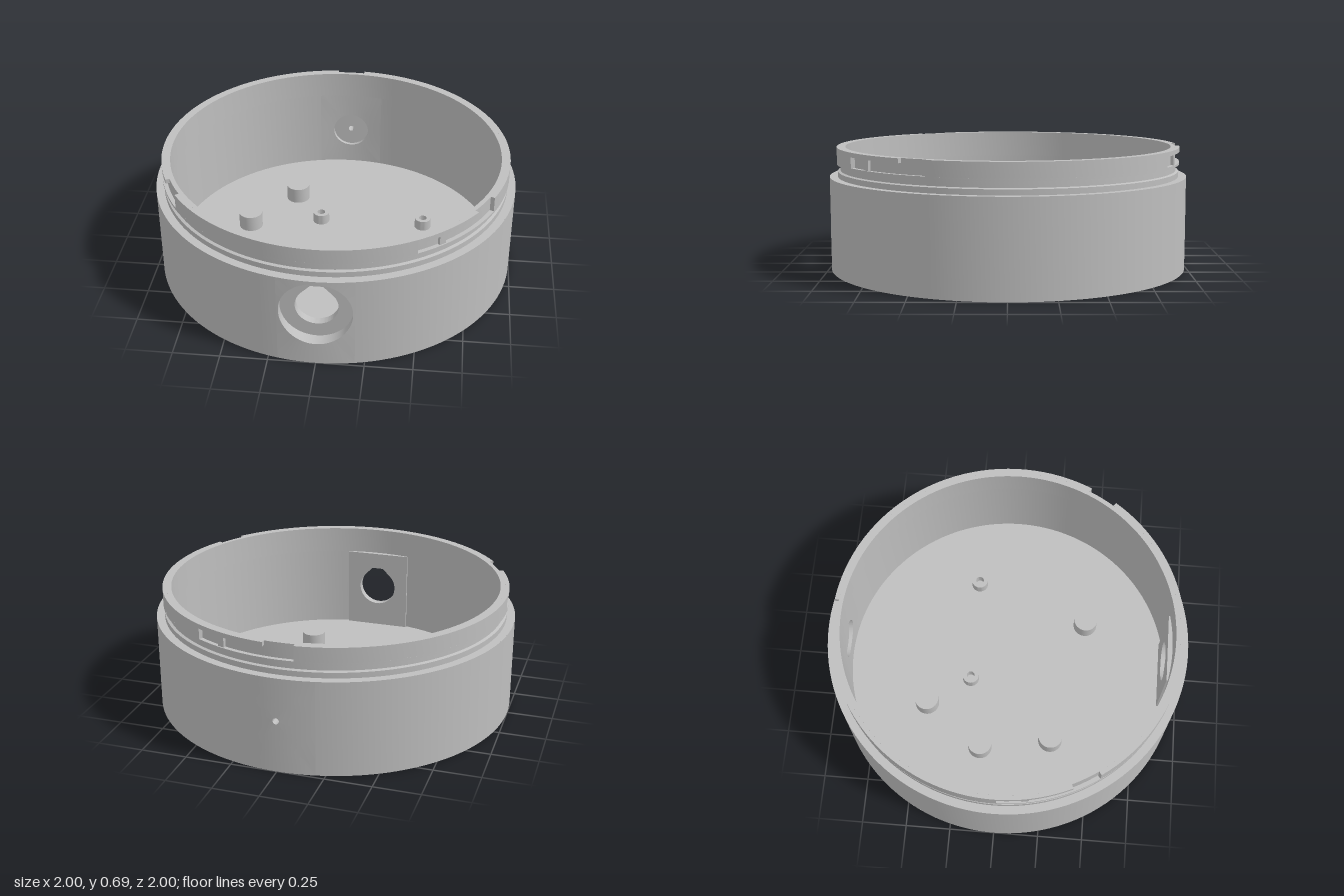
import * as THREE from 'three';
import { toCreasedNormals } from 'three/addons/utils/BufferGeometryUtils.js';

const DEG = Math.PI / 180;
const R_OUT = 1, R_IN = 0.92, FLOOR = 0.06, SHOULDER = 0.52, STEP = 0.535;
const W_OUT = 0.2, W_IN = 0.19; // half widths of the front and back wall sections

export function createModel() {
  const model = new THREE.Group();
  const grey = new THREE.MeshStandardMaterial({ color: 0xbebebe, side: THREE.DoubleSide });

  const add = (name, geometry, x = 0, z = 0) => {
    const mesh = new THREE.Mesh(toCreasedNormals(geometry, 0.5), grey);
    mesh.name = name;
    mesh.position.set(x, 0, z);
    model.add(mesh);
    return mesh;
  };

  // Profile of [radius, height] pairs turned about y; angles run from +z towards +x
  const turn = (pts, segments = 128, from = 0, to = 2 * Math.PI) =>
    new THREE.LatheGeometry(pts.map(([r, y]) => new THREE.Vector2(r, y)), segments, from, to - from);

  // Solid piece of a ring between two angles in degrees
  const ringPiece = (r0, r1, y0, y1, a0, a1) => {
    const n = Math.max(2, Math.ceil((a1 - a0) / 3)), pts = [];
    const point = (r, i) => {
      const a = (a0 + (a1 - a0) * i / n) * DEG;
      pts.push(new THREE.Vector2(r * Math.sin(a), -r * Math.cos(a)));
    };
    for (let i = 0; i <= n; i++) point(r1, i);
    for (let i = n; i >= 0; i--) point(r0, i);
    const g = new THREE.ExtrudeGeometry(new THREE.Shape(pts), { depth: y1 - y0, bevelEnabled: false });
    return g.rotateX(-Math.PI / 2).translate(0, y0, 0);
  };

  // Outlines, given as the distance from the centre height cy at angle t
  const circle = r => () => r;
  const rect = (w, y0, y1) => (t, cy) => {
    const c = Math.cos(t), s = Math.sin(t);
    return Math.min(w / Math.max(Math.abs(c), 1e-6), (s > 0 ? y1 - cy : cy - y0) / Math.max(Math.abs(s), 1e-6));
  };
  const teardrop = (r, top) => t => {
    const off = Math.abs(t - Math.PI / 2);
    return off < Math.PI / 4 ? Math.min(r / Math.cos(Math.PI / 4 - off), top / Math.sin(t)) : r;
  };
  const outerRect = rect(W_OUT, 0, SHOULDER), innerRect = rect(W_IN, FLOOR, STEP);
  const onCylinder = r => x => Math.sqrt(r * r - x * x);
  const flat = z => () => z;

  // Skin through a list of [outline, depth] loops around (0, cy)
  const loft = (cy, loops) => {
    const angles = [];
    for (let i = 0; i < 96; i++) angles.push(i / 96 * 2 * Math.PI);
    for (const [w, y0, y1] of [[W_OUT, 0, SHOULDER], [W_IN, FLOOR, STEP]])
      for (const x of [-w, w]) for (const y of [y0, y1])
        angles.push((Math.atan2(y - cy, x) + 2 * Math.PI) % (2 * Math.PI));
    angles.sort((a, b) => a - b);
    const n = angles.length, pos = [], index = [];
    loops.forEach(([outline, depth], j) => angles.forEach((t, i) => {
      const r = outline(t, cy), x = r * Math.cos(t);
      pos.push(x, cy + r * Math.sin(t), depth(x));
      if (j === 0) return;
      const k = (i + 1) % n, a = (j - 1) * n, b = j * n;
      index.push(a + i, a + k, b + i, a + k, b + k, b + i);
    }));
    const g = new THREE.BufferGeometry();
    g.setAttribute('position', new THREE.Float32BufferAttribute(pos, 3));
    g.setIndex(index);
    return g;
  };

  // Side walls, left open for the front and back sections
  const aOut = Math.asin(W_OUT / R_OUT), aIn = Math.asin(W_IN / R_IN);
  for (const [side, start] of [['left', 0], ['right', Math.PI]]) {
    add(side + 'OuterWall', turn([[R_OUT, 0], [R_OUT, SHOULDER]], 60, start + aOut, start + Math.PI - aOut));
    add(side + 'InnerWall', turn([[R_IN, STEP], [R_IN, FLOOR]], 60, start + aIn, start + Math.PI - aIn));
  }

  // Front section: round recess, teardrop port and flat inner panel
  add('frontPort', loft(0.315, [
    [outerRect, onCylinder(R_OUT)], [circle(0.19), onCylinder(R_OUT)],
    [circle(0.19), flat(0.93)], [teardrop(0.112, 0.125), flat(0.93)],
    [teardrop(0.112, 0.125), flat(0.885)], [innerRect, flat(0.885)],
    [innerRect, onCylinder(R_IN)],
  ]));

  // Back section: pin hole with a round recess inside
  add('backPinHole', loft(0.285, [
    [outerRect, onCylinder(R_OUT)], [circle(0.18), onCylinder(R_OUT)],
    [circle(0.1), onCylinder(R_OUT)], [circle(0.017), onCylinder(R_OUT)],
    [circle(0.017), flat(0.94)], [circle(0.108), flat(0.94)],
    [circle(0.108), onCylinder(R_IN)], [circle(0.15), onCylinder(R_IN)],
    [innerRect, onCylinder(R_IN)],
  ])).rotation.y = Math.PI;

  // Shoulder, seal groove and neck
  add('neck', turn([
    [1, SHOULDER], [0.955, SHOULDER], [0.955, 0.55], [0.94, 0.555], [0.94, 0.588], [0.96, 0.59],
    [0.96, 0.603], [0.937, 0.603], [0.937, 0.685], [0.912, 0.685], [0.912, STEP], [R_IN, STEP],
  ]));

  // Three bayonet slots cut between the pieces of the neck's outer skin
  for (let i = 0; i < 3; i++) {
    const a = i * 120;
    add('bayonetLand', ringPiece(0.937, 0.96, 0.603, 0.685, a + 65, a + 151));
    add('bayonetLip', ringPiece(0.937, 0.96, 0.66, 0.685, a + 31, a + 55.3));
    add('bayonetDetent', ringPiece(0.937, 0.953, 0.603, 0.66, a + 39, a + 41.3));
  }

  // Floor and underside with four blind screw holes
  add('floor', new THREE.CircleGeometry(R_IN, 128).rotateX(-Math.PI / 2).translate(0, FLOOR, 0));
  const pegs = [[-0.28, -0.45], [-0.52, -0.12], [-0.45, 0.28], [0.28, 0.44]];
  const base = new THREE.Shape().absarc(0, 0, R_OUT, 0, 2 * Math.PI);
  for (const [x, z] of pegs) base.holes.push(new THREE.Path().absarc(x, z, 0.033, 0, 2 * Math.PI, true));
  add('underside', new THREE.ShapeGeometry(base, 64).rotateX(Math.PI / 2));
  for (const [x, z] of pegs) {
    add('peg', turn([[0.068, FLOOR], [0.068, 0.152], [0, 0.152]], 40), x, z);
    add('screwHole', turn([[0, 0.12], [0.033, 0.12], [0.033, 0]], 32), x, z);
  }

  // Two hollow standoffs
  for (const x of [-0.11, 0.495])
    add('standoff', turn([[0.047, FLOOR], [0.047, 0.12], [0.023, 0.12], [0.023, 0.065], [0, 0.065]], 32), x, -0.21);

  return model;
}
